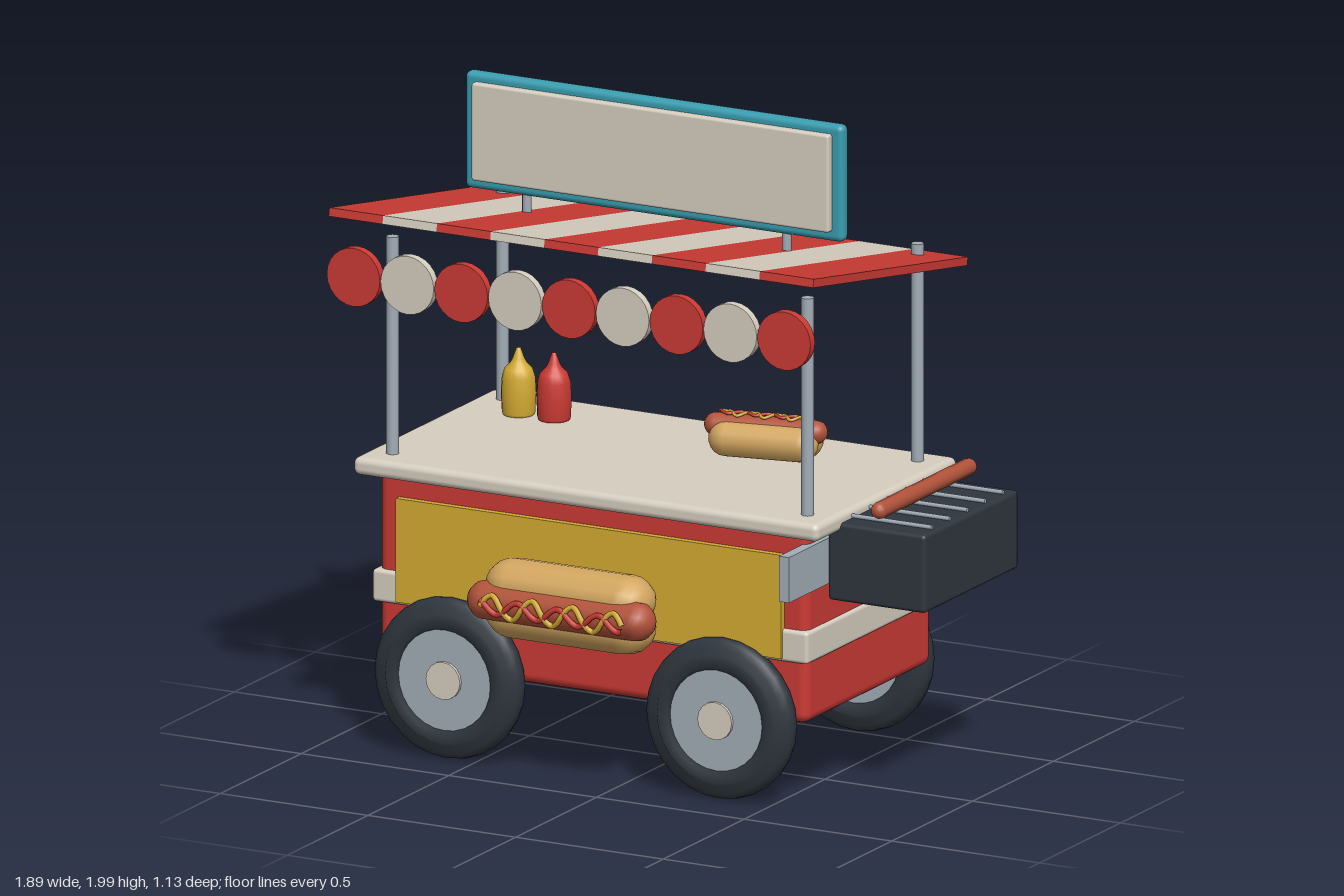
import * as THREE from 'three';
import { RoundedBoxGeometry } from 'three/addons/geometries/RoundedBoxGeometry.js';

const mat = (name, color, side = THREE.FrontSide) => {
  const m = new THREE.MeshStandardMaterial({ color, side });
  m.name = name;
  return m;
};

export function createModel() {
  const red = mat('red paint', 0xcb3a34);
  const cream = mat('cream', 0xd6cec0);
  const teal = mat('teal', 0x389db0);
  const yellow = mat('mustard yellow', 0xd4ab32);
  const dark = mat('charcoal', 0x2f363e);
  const steel = mat('steel', 0xa3adb7);
  const bunTan = mat('bun', 0xd3a660);
  const meat = mat('sausage', 0xb2533a);

  const cart = new THREE.Group();
  cart.name = 'foodCart';

  const add = (name, geo, material, x = 0, y = 0, z = 0, parent = cart) => {
    const m = new THREE.Mesh(geo, material);
    m.name = name;
    m.position.set(x, y, z);
    parent.add(m);
    return m;
  };
  // box given by its extents; r rounds the edges
  const box = (name, material, [x0, x1], [y0, y1], [z0, z1], r = 0, parent = cart) => {
    const s = [x1 - x0, y1 - y0, z1 - z0];
    const geo = r ? new RoundedBoxGeometry(...s, 3, r) : new THREE.BoxGeometry(...s);
    return add(name, geo, material, (x0 + x1) / 2, (y0 + y1) / 2, (z0 + z1) / 2, parent);
  };
  const group = (name, x, y, z, parent = cart) => {
    const g = new THREE.Group();
    g.name = name;
    g.position.set(x, y, z);
    parent.add(g);
    return g;
  };
  const lathe = (pts, seg = 24) =>
    new THREE.LatheGeometry(pts.map(([r, y]) => new THREE.Vector2(r, y)), seg);

  // Body
  box('body', red, [-0.85, 0.6], [0.26, 0.87], [-0.48, 0.295], 0.03);
  box('trimBand', cream, [-0.865, 0.61], [0.45, 0.55], [-0.49, 0.31], 0.012);
  box('frontPanel', yellow, [-0.78, 0.525], [0.46, 0.78], [0.285, 0.317]);
  box('counter', cream, [-0.915, 0.66], [0.84, 0.895], [-0.53, 0.34], 0.02);

  // Wheels
  const tyreGeo = lathe([
    [0.15, -0.03], [0.165, -0.044], [0.195, -0.046], [0.2, -0.039], [0.225, -0.036], [0.243, -0.022],
    [0.248, 0], [0.243, 0.022], [0.225, 0.036], [0.2, 0.039], [0.195, 0.046], [0.165, 0.044], [0.15, 0.03],
    [0.15, -0.03],
  ], 28).rotateX(Math.PI / 2);
  const hubGeo = new THREE.CylinderGeometry(0.158, 0.158, 0.07, 28).rotateX(Math.PI / 2);
  const capGeo = new THREE.CylinderGeometry(0.058, 0.058, 0.09, 16).rotateX(Math.PI / 2);
  for (const x of [-0.59, 0.33]) {
    for (const z of [0.328, -0.522]) {
      const wheel = group(z > 0 ? 'frontWheel' : 'backWheel', x, 0.256, z);
      add('tyre', tyreGeo, dark, 0, 0, 0, wheel);
      add('hub', hubGeo, steel, 0, 0, 0, wheel);
      add('hubCap', capGeo, cream, 0, 0, 0, wheel);
    }
  }

  // Roof posts
  for (const x of [-0.83, 0.575])
    for (const z of [0.245, -0.435])
      add('post', new THREE.CylinderGeometry(0.019, 0.019, 0.69, 12), steel, x, 1.22, z);

  // Striped awning with hanging scallops
  const stripe = 1.64 / 9;
  const awning = group('awning', 0, 1.583, -0.058);
  awning.rotation.x = -0.172;
  const discGeo = new THREE.CylinderGeometry(0.09, 0.09, 0.028, 24).rotateX(Math.PI / 2);
  for (let i = 0; i < 9; i++) {
    const x = -0.95 + stripe * (i + 0.5);
    const colour = i % 2 ? cream : red;
    add('awningStripe', new THREE.BoxGeometry(stripe, 0.026, 0.968), colour, x, 0, 0, awning);
    add('scallop', discGeo, colour, x, 1.48, 0.421);
  }

  // Sign board
  box('signFrame', teal, [-0.77, 0.51], [1.64, 2], [-0.133, -0.088], 0.018);
  box('signFace', cream, [-0.735, 0.475], [1.672, 1.973], [-0.1, -0.065], 0.008);
  for (const x of [-0.57, 0.31])
    add('signPost', new THREE.CylinderGeometry(0.014, 0.014, 0.1, 10), steel, x, 1.61, -0.11);

  // Side grill
  box('grillBox', dark, [0.615, 0.945], [0.625, 0.866], [-0.385, 0.195], 0.012);
  box('grillBracket', steel, [0.583, 0.617], [0.675, 0.815], [-0.1, 0.437]);
  for (let i = 0; i < 5; i++)
    add('grillBar', new THREE.CylinderGeometry(0.007, 0.007, 0.3, 8).rotateZ(Math.PI / 2),
      steel, 0.78, 0.873, -0.317 + i * 0.11);
  add('grillSausage', new THREE.CapsuleGeometry(0.026, 0.548, 5, 12).rotateX(Math.PI / 2),
    meat, 0.78, 0.918, -0.1);

  // Hot dog lying along x with its filling towards +z
  const hotDog = (name, parent) => {
    const dog = group(name, 0, 0, 0, parent);
    for (const s of [1, -1]) {
      const bun = add('bun', new THREE.CapsuleGeometry(0.09, 0.375, 5, 12).rotateZ(Math.PI / 2),
        bunTan, 0, s * 0.043, 0.09, dog);
      bun.scale.y = 0.88;
    }
    add('sausage', new THREE.CapsuleGeometry(0.06, 0.505, 6, 12).rotateZ(Math.PI / 2),
      meat, 0, 0, 0.147, dog);
    // wavy sauce lines that follow the curve of the sausage
    const sauce = (sauceName, material, phase, amp) => {
      const pts = [];
      for (let i = 0; i <= 28; i++) {
        const y = amp * Math.sin(i / 28 * Math.PI * 7 + phase);
        pts.push(new THREE.Vector3(-0.24 + i / 28 * 0.48, y, 0.147 + Math.sqrt(0.068 ** 2 - y * y)));
      }
      const curve = new THREE.CatmullRomCurve3(pts);
      add(sauceName, new THREE.TubeGeometry(curve, 84, 0.009, 6), material, 0, 0, 0, dog);
    };
    sauce('mustard', yellow, 0, 0.034);
    sauce('ketchup', red, 2.2, 0.022);
    return dog;
  };
  hotDog('frontHotDog').position.set(-0.125, 0.564, 0.34);
  const plate = group('counterHotDog', 0.163, 0.895, -0.25);
  plate.rotation.y = 0.2;
  plate.scale.setScalar(0.61);
  hotDog('hotDog', plate).rotation.x = -Math.PI / 2;

  // Sauce bottles
  const bottleGeo = lathe([
    [0, 0], [0.046, 0], [0.05, 0.01], [0.053, 0.07], [0.05, 0.12], [0.042, 0.145],
    [0.024, 0.163], [0.018, 0.175], [0.006, 0.208], [0, 0.208],
  ], 16);
  add('mustardBottle', bottleGeo, yellow, -0.71, 0.892, -0.315);
  add('ketchupBottle', bottleGeo, red, -0.59, 0.892, -0.315);

  return cart;
}
